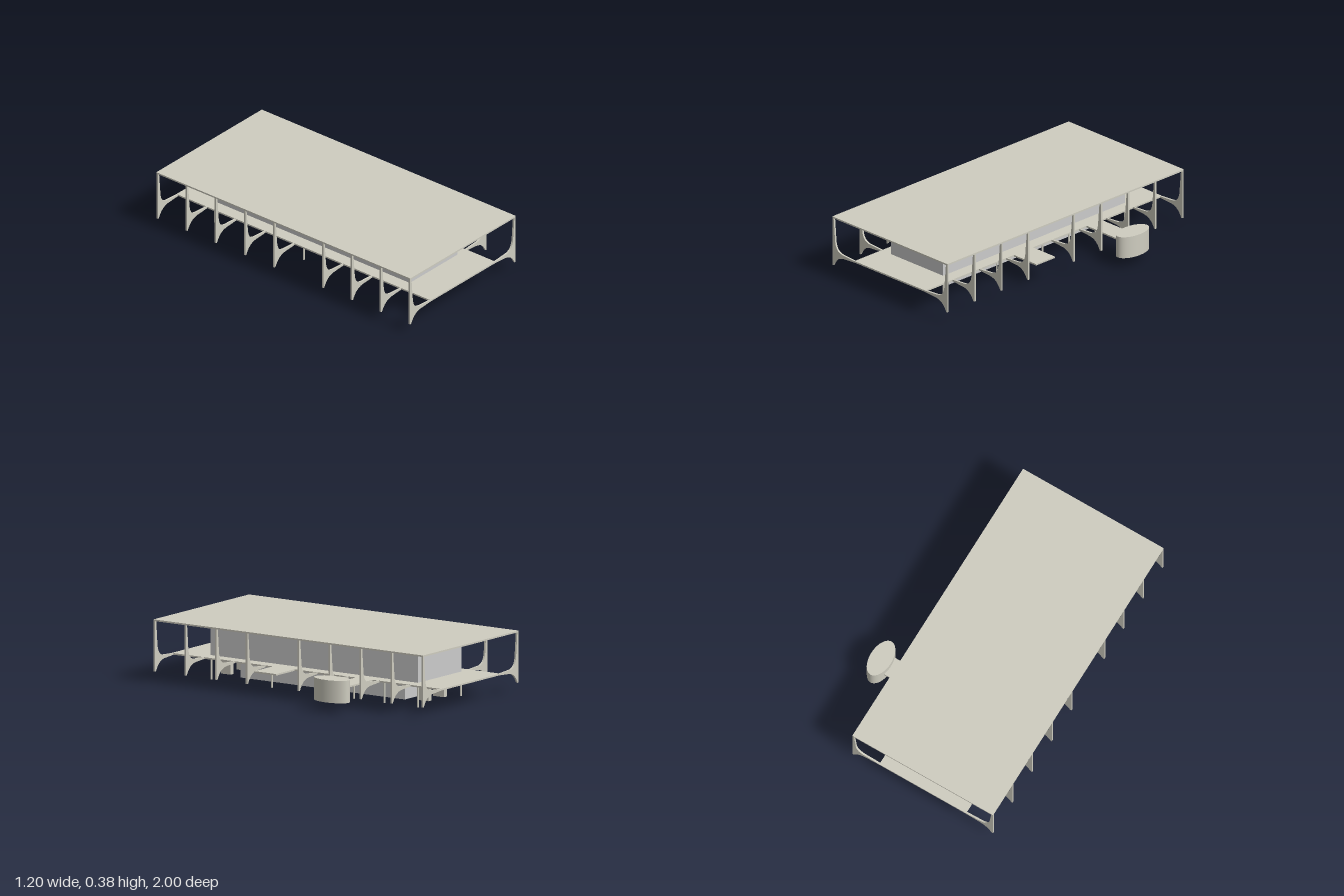
import * as THREE from 'three';

const concrete = new THREE.MeshStandardMaterial({ color: 0xcfcdc0 });
const glass = new THREE.MeshStandardMaterial({ color: 0xbcbcbe });

// Centre line of the plan
const MID = -0.105;

// Box given by its extents on each axis
function block(name, [x0, x1], [y0, y1], [z0, z1], material = concrete) {
  const mesh = new THREE.Mesh(new THREE.BoxGeometry(x1 - x0, y1 - y0, z1 - z0), material);
  mesh.position.set((x0 + x1) / 2, (y0 + y1) / 2, (z0 + z1) / 2);
  mesh.name = name;
  return mesh;
}

// Curved bracket column: outer edge upright, inner edges sweeping into the floor
function bracketGeometry(depth) {
  const s = new THREE.Shape();
  s.moveTo(0.495, 0.065);
  s.lineTo(0.495, 0.376);
  s.lineTo(0.483, 0.376);
  s.lineTo(0.47, 0.225);
  s.bezierCurveTo(0.463, 0.175, 0.44, 0.16, 0.405, 0.156);
  s.lineTo(0.3, 0.149);
  s.lineTo(0.3, 0.14);
  s.lineTo(0.4, 0.133);
  s.bezierCurveTo(0.44, 0.127, 0.465, 0.108, 0.486, 0.065);
  s.closePath();
  const geometry = new THREE.ExtrudeGeometry(s, { depth, bevelEnabled: false, curveSegments: 8 });
  return geometry.translate(0, 0, -depth / 2);
}

export function createModel() {
  const model = new THREE.Group();
  model.name = 'pavilion';

  // Main slabs and volumes
  model.add(
    block('roof', [-0.6, 0.39], [0.375, 0.385], [-1, 1]),
    block('floor', [-0.41, 0.2], [0.14, 0.15], [-1, 1]),
    block('upperRoom', [-0.33, 0.12], [0.15, 0.375], [-0.77, 0.77], glass),
    block('lowerRoom', [-0.22, 0.02], [0.013, 0.14], [-0.6, 0.62], glass),
    block('entryLanding', [0.2, 0.39], [0.14, 0.15], [0.09, 0.25]),
    block('bridge', [0.2, 0.475], [0.14, 0.15], [-0.49, -0.365])
  );

  // Row of bracket columns on both long sides
  const bracket = bracketGeometry(0.012);
  for (const z of [-0.994, -0.765, -0.535, -0.305, -0.075, 0.31, 0.537, 0.765, 0.994]) {
    for (const side of [1, -1]) {
      const mesh = new THREE.Mesh(bracket, concrete);
      mesh.name = side > 0 ? 'leftBracketColumn' : 'rightBracketColumn';
      mesh.rotation.y = side > 0 ? 0 : Math.PI;
      mesh.position.set(MID, 0, z);
      model.add(mesh);
    }
  }

  // Slim posts under the floor
  const post = new THREE.CylinderGeometry(0.006, 0.006, 0.14, 12);
  for (const z of [-0.77, -0.52, -0.295, -0.07, 0.315, 0.765]) {
    for (const x of [-0.324, 0.119]) {
      const mesh = new THREE.Mesh(post, concrete);
      mesh.name = 'post';
      mesh.position.set(x, 0.07, z);
      model.add(mesh);
    }
  }

  // Pairs of piers beyond each end of the lower room
  for (const z of [[0.705, 0.775], [-0.765, -0.685]]) {
    for (const x of [[-0.187, -0.155], [-0.027, 0.005]]) {
      model.add(block('pier', x, [0.018, 0.14], z));
    }
  }

  // Oval stair tower at the end of the bridge
  const tower = new THREE.Mesh(new THREE.CylinderGeometry(1, 1, 0.138, 48), concrete);
  tower.name = 'ovalTower';
  tower.scale.set(0.068, 1, 0.124);
  tower.position.set(0.532, 0.135, -0.427);
  model.add(tower);

  return model;
}
